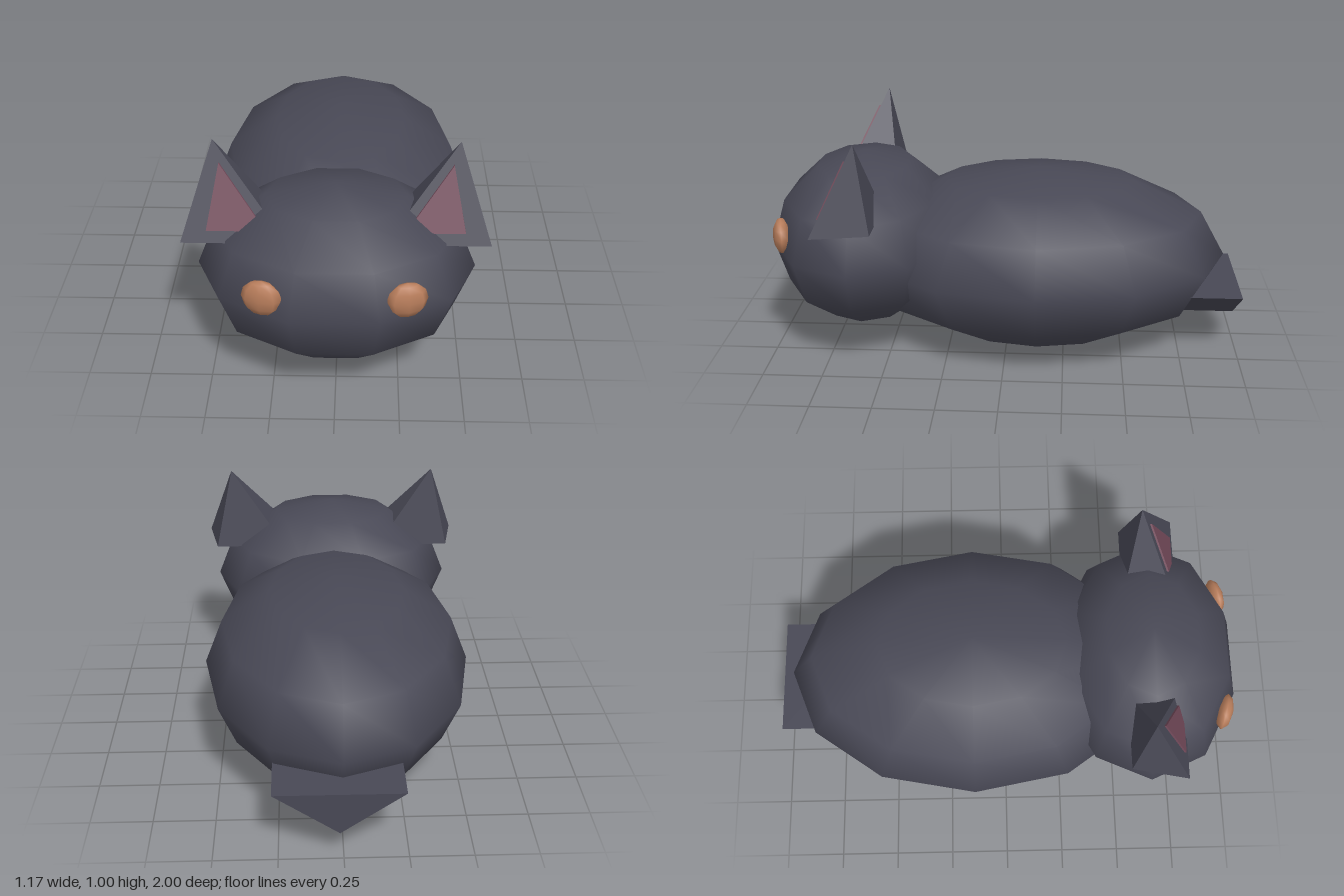
import * as THREE from 'three';
import { ConvexGeometry } from 'three/addons/geometries/ConvexGeometry.js';

const fur = new THREE.MeshStandardMaterial({ color: 0x484855 });
fur.name = 'dark fur';
const earPink = new THREE.MeshStandardMaterial({ color: 0x704858 });
earPink.name = 'inner ear pink';
const amber = new THREE.MeshStandardMaterial({ color: 0xb87d5b });
amber.name = 'amber eye';

const V = (x, y, z) => new THREE.Vector3(x, y, z);

export function createModel() {
  const model = new THREE.Group();
  model.name = 'animal';

  const add = (name, geometry, material) => {
    const mesh = new THREE.Mesh(geometry, material);
    mesh.name = name;
    model.add(mesh);
    return mesh;
  };

  // Smooth low-poly ellipsoid
  const ellipsoid = (name, material, centre, radii, sides, rings) => {
    const mesh = add(name, new THREE.SphereGeometry(1, sides, rings), material);
    mesh.position.set(...centre);
    mesh.scale.set(...radii);
    return mesh;
  };

  ellipsoid('body', fur, [0, 0.39, -0.135], [0.563, 0.387, 0.808], 12, 6);
  ellipsoid('head', fur, [0, 0.47, 0.62], [0.543, 0.37, 0.4], 10, 6);

  for (const s of [1, -1]) {
    const side = s > 0 ? 'left' : 'right';

    // Eye, turned to follow the curve of the head
    const eye = ellipsoid(side + 'Eye', amber, [s * 0.267, 0.538, 0.94], [0.08, 0.075, 0.036], 8, 6);
    eye.rotation.y = s * 0.25;

    // Ear: four-sided leaning pyramid
    add(side + 'Ear', new ConvexGeometry([
      V(s * 0.465, 1.0, 0.58),
      V(s * 0.585, 0.647, 0.75), V(s * 0.18, 0.647, 0.75),
      V(s * 0.54, 0.647, 0.517), V(s * 0.22, 0.647, 0.517),
    ]), fur);

    // Inner ear: thin plate lying on the sloping front of the ear
    const frontZ = (y) => 0.75 - (y - 0.647) * 0.4816;
    const corners = [[0.487, 0.693], [0.262, 0.693], [0.44, 0.923]];
    add(side + 'InnerEar', new ConvexGeometry(corners.flatMap(([x, y]) => [
      V(s * x, y, frontZ(y) + 0.009), V(s * x, y, frontZ(y) + 0.001),
    ])), earPink);
  }

  // Tail: triangular prism, flat on top, pointing down
  const section = new THREE.Shape([
    new THREE.Vector2(0.27, 0.295), new THREE.Vector2(-0.235, 0.295), new THREE.Vector2(0.015, 0.12),
  ]);
  const tail = add('tail', new THREE.ExtrudeGeometry(section, { depth: 0.42, bevelEnabled: false }), fur);
  tail.position.z = -1;

  return model;
}
